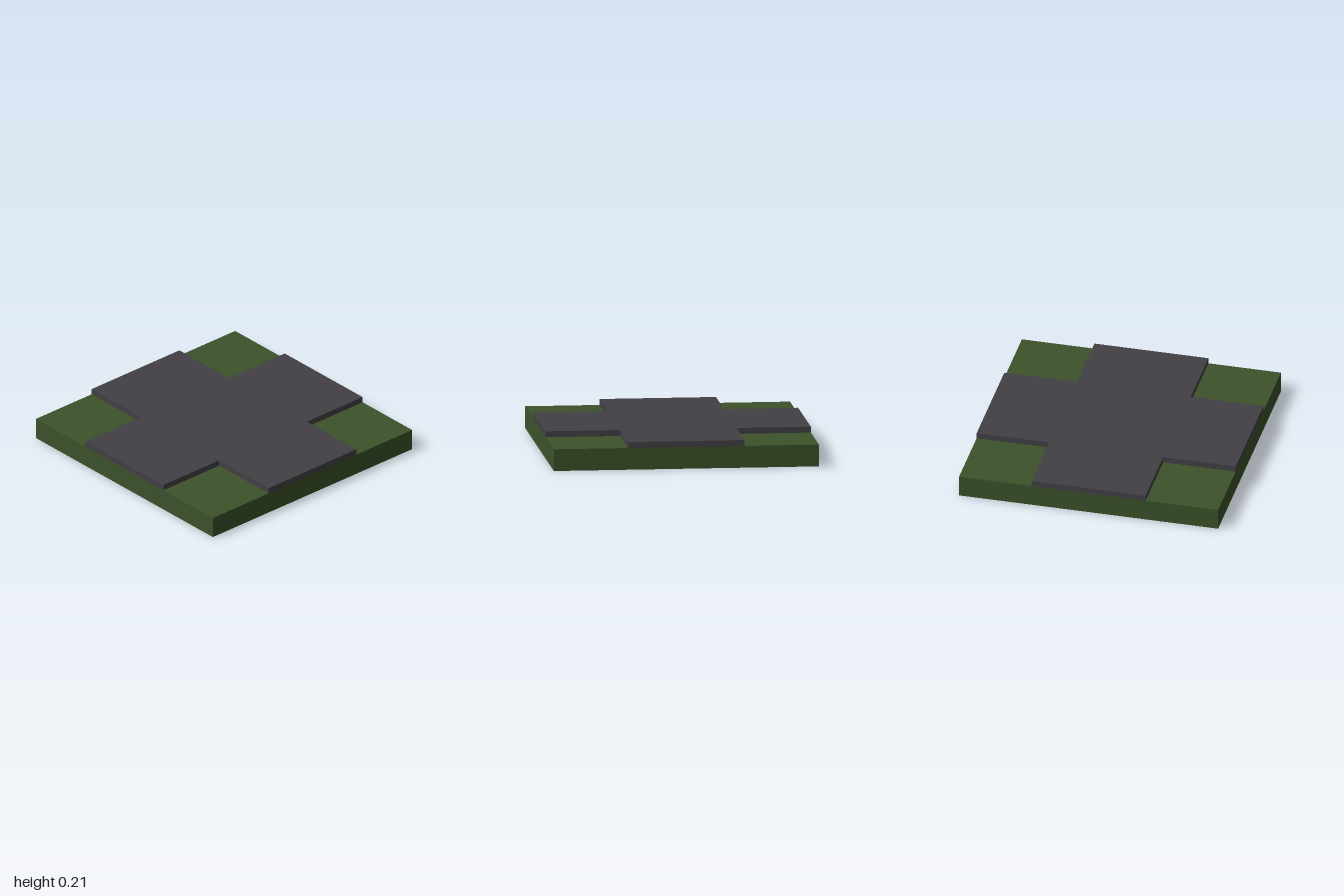
import * as THREE from 'three';

const BASE_TOP = 0.165, TOP = 0.21, HALF_ROAD = 0.44;

export function createModel() {
  const model = new THREE.Group();
  model.name = 'crossroadsTile';

  const grass = new THREE.MeshStandardMaterial({ color: 0x3c522a });
  grass.name = 'grass green';
  const asphalt = new THREE.MeshStandardMaterial({ color: 0x424045 });
  asphalt.name = 'asphalt grey';

  // Square slab of ground
  const ground = new THREE.Mesh(new THREE.BoxGeometry(2, BASE_TOP, 2), grass);
  ground.name = 'ground';
  ground.position.y = BASE_TOP / 2;
  model.add(ground);

  // Raised cross of two roads, one outline so the top is a single surface
  const h = HALF_ROAD;
  const outline = [
    [-h, -1], [h, -1], [h, -h], [1, -h], [1, h], [h, h],
    [h, 1], [-h, 1], [-h, h], [-1, h], [-1, -h], [-h, -h],
  ].map(([x, y]) => new THREE.Vector2(x, y));
  const roadGeometry = new THREE.ExtrudeGeometry(new THREE.Shape(outline), {
    depth: TOP - BASE_TOP,
    bevelEnabled: false,
  });
  roadGeometry.rotateX(-Math.PI / 2);
  const road = new THREE.Mesh(roadGeometry, asphalt);
  road.name = 'crossroads';
  road.position.y = BASE_TOP;
  model.add(road);

  return model;
}
